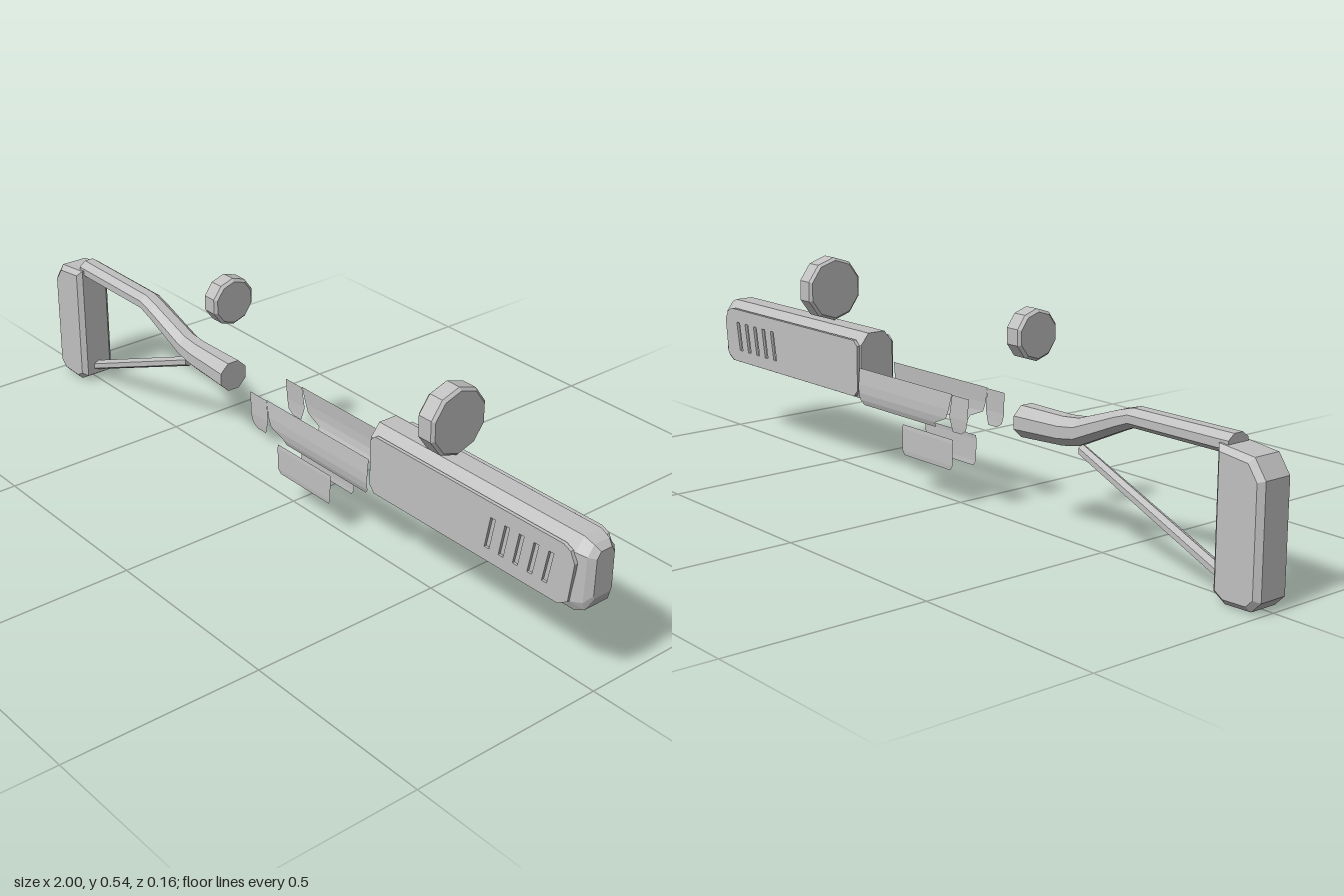
import * as THREE from 'three';

const grey = new THREE.MeshStandardMaterial({ color: 0xc0c0c0, side: THREE.DoubleSide });
grey.name = 'grey';

// Faceted mesh from a flat list of triangle corners
function facets(name, tris) {
  const geo = new THREE.BufferGeometry();
  geo.setAttribute('position', new THREE.Float32BufferAttribute(tris.flat(), 3));
  geo.computeVertexNormals();
  const mesh = new THREE.Mesh(geo, grey);
  mesh.name = name;
  return mesh;
}

// Closed skin over cross-sections ordered along +x
function loft(name, rings) {
  const tris = [], n = rings[0].length, last = rings[rings.length - 1];
  for (let i = 0; i < rings.length - 1; i++) {
    for (let j = 0; j < n; j++) {
      const k = (j + 1) % n, p = rings[i], q = rings[i + 1];
      tris.push(p[j], p[k], q[k], p[j], q[k], q[j]);
    }
  }
  for (let j = 1; j < n - 1; j++) {
    tris.push(rings[0][0], rings[0][j + 1], rings[0][j]);
    tris.push(last[0], last[j], last[j + 1]);
  }
  return facets(name, tris);
}

// Elliptical cross-section across x
function oval(x, y, ry, rz, sides, turn = 0) {
  return Array.from({ length: sides }, (_, i) => {
    const a = ((i + turn) / sides) * Math.PI * 2;
    return [x, y + ry * Math.cos(a), rz * Math.sin(a)];
  });
}

// Chamfered box cross-section across x, from its right-hand (+z) profile, top down
function section(x, half) {
  return [...half.map(([y, z]) => [x, y, z]), ...half.slice().reverse().map(([y, z]) => [x, y, -z])];
}

// Thin folded sheet, rows of [y, z, x start, x end] from top to bottom
function sheet(name, rows, side) {
  const tris = [];
  for (let i = 0; i < rows.length - 1; i++) {
    const [y0, z0, a0, b0] = rows[i], [y1, z1, a1, b1] = rows[i + 1];
    const a = [a0, y0, z0 * side], b = [b0, y0, z0 * side];
    const c = [a1, y1, z1 * side], d = [b1, y1, z1 * side];
    if (side > 0) tris.push(a, c, d, a, d, b);
    else tris.push(a, d, c, a, b, d);
  }
  return facets(name, tris);
}

const outline = (pts) => new THREE.Shape(pts.map(([x, y]) => new THREE.Vector2(x, y)));

// Wheel with bevelled rims
function disc(name, x0, x1, y, r) {
  const b = 0.007;
  return loft(name, [
    oval(x0, y, r - b, r - b, 10), oval(x0 + b, y, r, r, 10),
    oval(x1 - b, y, r, r, 10), oval(x1, y, r - b, r - b, 10),
  ]);
}

export function createModel() {
  const model = new THREE.Group();
  model.name = 'model';

  // Butt: bevelled slab
  const buttShape = outline([
    [-0.985, 0.032], [-0.985, 0.278], [-0.96, 0.313], [-0.882, 0.322],
    [-0.882, 0.026], [-0.905, 0.012], [-0.967, 0.014],
  ]);
  const buttGeo = new THREE.ExtrudeGeometry(buttShape, {
    depth: 0.072, bevelEnabled: true, bevelThickness: 0.012, bevelSize: 0.013, bevelSegments: 1,
  });
  buttGeo.translate(0, 0, -0.036);
  const butt = new THREE.Mesh(buttGeo, grey);
  butt.name = 'butt';
  model.add(butt);

  // Stock neck: bent eight-sided bar
  model.add(loft('stockNeck', [
    [-0.89, 0.332, 0.025, 0.033], [-0.6, 0.331, 0.024, 0.033],
    [-0.56, 0.317, 0.027, 0.033], [-0.43, 0.265, 0.035, 0.034],
    [-0.38, 0.258, 0.037, 0.036], [-0.24, 0.254, 0.041, 0.042],
  ].map(([x, y, ry, rz]) => oval(x, y, ry, rz, 8, 0.5))));

  // Slanted brace under the neck
  model.add(loft('stockBrace', [
    oval(-0.88, 0.038, 0.014, 0.018, 6), oval(-0.43, 0.222, 0.014, 0.014, 6),
  ]));

  // Two wheels above the body
  model.add(disc('smallWheel', -0.28, -0.23, 0.46, 0.061));
  model.add(disc('largeWheel', 0.515, 0.568, 0.458, 0.083));

  // Fore body with a tapered nose
  const full = [[0.372, 0.025], [0.342, 0.049], [0.225, 0.051], [0.201, 0.04]];
  model.add(loft('foreBody', [
    section(0.338, full),
    section(0.96, full),
    section(0.985, [[0.362, 0.022], [0.338, 0.04], [0.23, 0.042], [0.21, 0.035]]),
    section(0.999, [[0.35, 0.016], [0.335, 0.026], [0.248, 0.027], [0.24, 0.024]]),
  ]));

  // Slotted side panel
  const panelShape = outline([
    [0.345, 0.225], [0.36, 0.208], [0.93, 0.208], [0.957, 0.225],
    [0.968, 0.32], [0.955, 0.345], [0.935, 0.354], [0.36, 0.354], [0.345, 0.34],
  ]);
  for (let i = 0; i < 5; i++) {
    const x = 0.715 + i * 0.042;
    panelShape.holes.push(new THREE.Path([
      [x, 0.24], [x + 0.014, 0.24], [x + 0.028, 0.318], [x + 0.014, 0.318],
    ].map(([px, py]) => new THREE.Vector2(px, py))));
  }

  for (const side of [1, -1]) {
    const label = side > 0 ? 'left' : 'right';
    const panelGeo = new THREE.ExtrudeGeometry(panelShape, { depth: 0.009, bevelEnabled: false });
    panelGeo.translate(0, 0, side > 0 ? 0.048 : -0.057);
    const panel = new THREE.Mesh(panelGeo, grey);
    panel.name = label + 'SidePanel';
    model.add(panel);

    // Receiver cover with its rear flap
    model.add(sheet(label + 'ReceiverCover', [
      [0.286, 0.055, -0.035, 0.338], [0.245, 0.058, -0.025, 0.338],
      [0.222, 0.058, -0.015, 0.338], [0.204, 0.055, 0.03, 0.336], [0.191, 0.05, 0.035, 0.325],
    ], side));
    model.add(sheet(label + 'RearFlap', [
      [0.284, 0.055, -0.098, -0.035], [0.23, 0.057, -0.095, -0.027],
      [0.205, 0.056, -0.088, -0.035], [0.194, 0.055, -0.07, -0.038],
    ], side));

    // Small plate below the receiver
    model.add(sheet(label + 'LowerPlate', [
      [0.166, 0.036, -0.015, 0.183], [0.156, 0.037, -0.016, 0.184],
      [0.1, 0.037, -0.014, 0.184], [0.088, 0.036, -0.004, 0.178],
    ], side));
  }
  return model;
}
